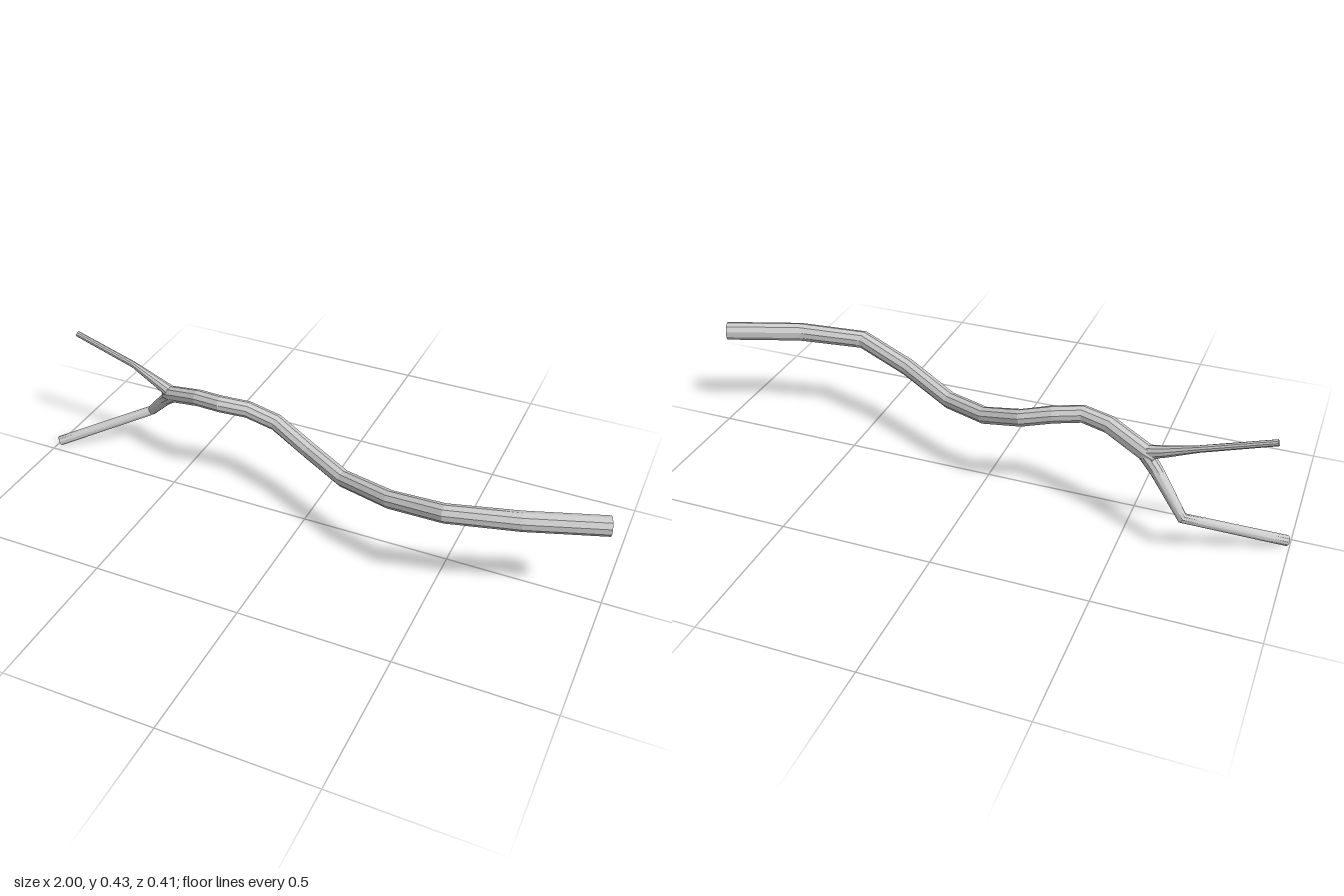
import * as THREE from 'three';

const SIDES = 10;

// Faceted, capped limb through points given as [x, y, z, radius].
function limb(name, points, material) {
  const centres = points.map(p => new THREE.Vector3(p[0], p[1], p[2]));
  const last = points.length - 1;
  const pos = [], index = [];
  const up = new THREE.Vector3(0, 1, 0);
  points.forEach((p, i) => {
    // Rings lie on the bisecting plane of each bend
    const t = centres[Math.min(i + 1, last)].clone().sub(centres[i]).normalize()
      .add(centres[i].clone().sub(centres[Math.max(i - 1, 0)]).normalize()).normalize();
    const u = up.clone().addScaledVector(t, -up.dot(t)).normalize();
    const v = new THREE.Vector3().crossVectors(t, u);
    for (let k = 0; k < SIDES; k++) {
      const a = (k / SIDES) * Math.PI * 2;
      const q = centres[i].clone()
        .addScaledVector(u, Math.cos(a) * p[3]).addScaledVector(v, Math.sin(a) * p[3]);
      pos.push(q.x, q.y, q.z);
    }
  });
  for (let i = 0; i < last; i++) {
    for (let k = 0; k < SIDES; k++) {
      const a = i * SIDES + k, b = i * SIDES + (k + 1) % SIDES;
      index.push(a, b, b + SIDES, a, b + SIDES, a + SIDES);
    }
  }
  // End caps
  const end = last * SIDES;
  for (let k = 1; k < SIDES - 1; k++) {
    index.push(0, k + 1, k, end, end + k, end + k + 1);
  }
  const geometry = new THREE.BufferGeometry();
  geometry.setAttribute('position', new THREE.Float32BufferAttribute(pos, 3));
  geometry.setIndex(index);
  const flat = geometry.toNonIndexed();
  flat.computeVertexNormals();
  const mesh = new THREE.Mesh(flat, material);
  mesh.name = name;
  return mesh;
}

export function createModel() {
  const group = new THREE.Group();
  group.name = 'branch';
  const bark = new THREE.MeshStandardMaterial({ color: 0xcccccc, flatShading: true });

  // Main winding stem, from the thick cut end to the fork
  group.add(limb('mainStem', [
    [0.99, 0.336, 0.046, 0.031],
    [0.75, 0.336, 0.13, 0.031],
    [0.53, 0.325, 0.174, 0.03],
    [0.34, 0.28, 0.123, 0.029],
    [0.15, 0.24, 0.033, 0.028],
    [0.0, 0.257, -0.04, 0.028],
    [-0.14, 0.303, -0.083, 0.028],
    [-0.24, 0.332, -0.074, 0.028],
    [-0.33, 0.342, -0.053, 0.028],
    [-0.42, 0.332, -0.069, 0.028],
    [-0.55, 0.288, -0.113, 0.028],
    [-0.58, 0.277, -0.122, 0.02],
  ], bark));

  // Upper twig
  group.add(limb('upperTwig', [
    [-0.54, 0.287, -0.112, 0.024],
    [-0.61, 0.312, -0.124, 0.018],
    [-0.71, 0.352, -0.136, 0.011],
    [-0.93, 0.424, -0.135, 0.01],
  ], bark));

  // Lower twig with an elbow
  group.add(limb('lowerTwig', [
    [-0.54, 0.29, -0.11, 0.025],
    [-0.59, 0.245, -0.135, 0.022],
    [-0.69, 0.136, -0.192, 0.017],
    [-0.99, 0.018, -0.031, 0.017],
  ], bark));

  return group;
}
